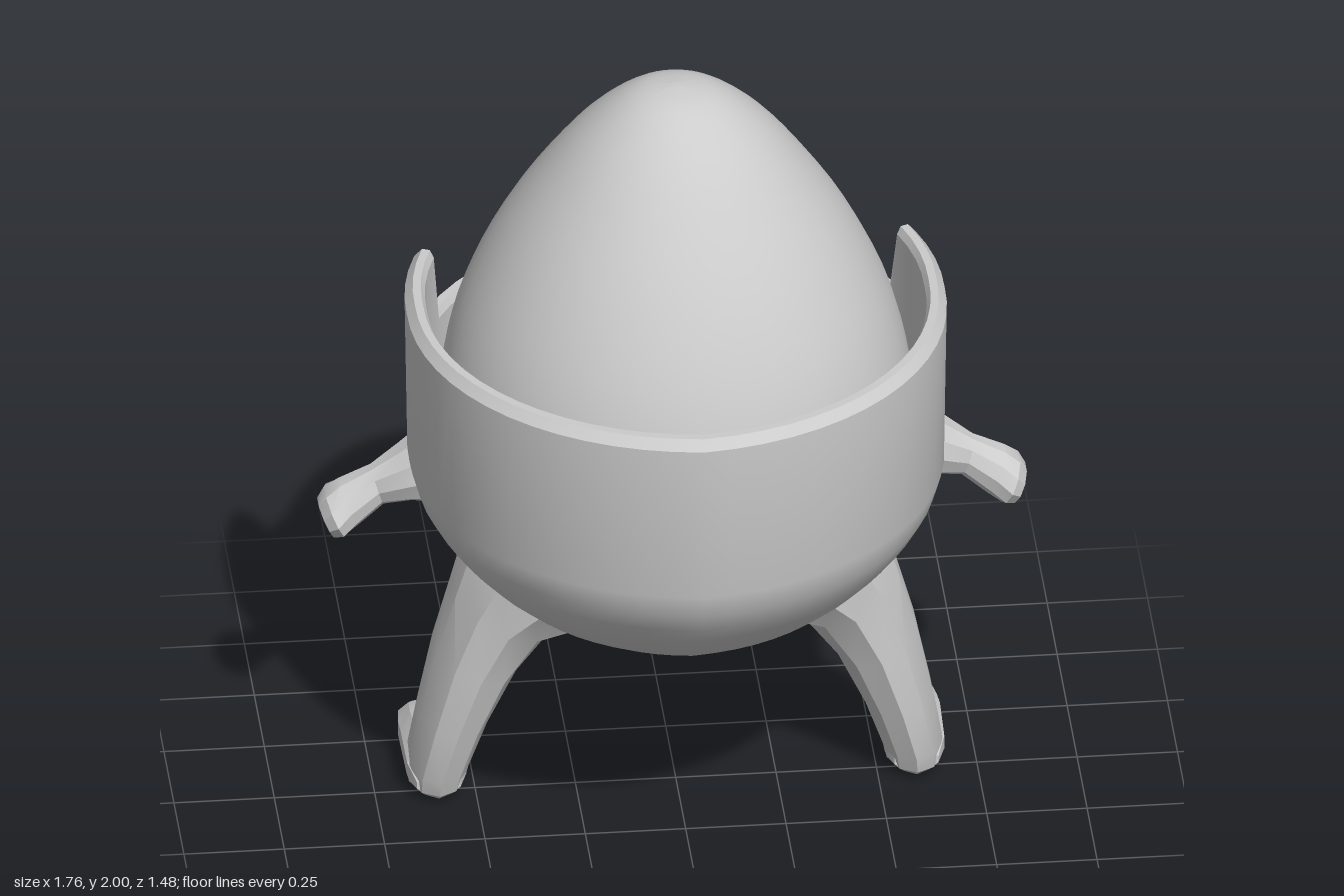
import * as THREE from 'three';
import { toCreasedNormals } from 'three/addons/utils/BufferGeometryUtils.js';

const material = new THREE.MeshStandardMaterial({ color: 0xcccccc });

function part(name, geometry, crease = 0.45) {
  const mesh = new THREE.Mesh(toCreasedNormals(geometry, crease), material);
  mesh.name = name;
  return mesh;
}

// Skin a list of closed rings; optional end caps; winding set from the signed volume.
function loft(rings, capped = true) {
  const n = rings[0].length;
  const pts = rings.flat();
  const index = [];
  for (let i = 0; i < rings.length - 1; i++) {
    for (let j = 0; j < n; j++) {
      const k = (j + 1) % n;
      const a = i * n + j, b = i * n + k, c = a + n, d = b + n;
      index.push(a, c, b, b, c, d);
    }
  }
  if (capped) {
    const last = (rings.length - 1) * n;
    for (let j = 1; j < n - 1; j++) {
      index.push(0, j, j + 1, last, last + j + 1, last + j);
    }
  }
  let volume = 0;
  const cross = new THREE.Vector3();
  for (let i = 0; i < index.length; i += 3) {
    volume += pts[index[i]].dot(cross.crossVectors(pts[index[i + 1]], pts[index[i + 2]]));
  }
  if (volume < 0) index.reverse();
  const geometry = new THREE.BufferGeometry().setFromPoints(pts);
  geometry.setIndex(index);
  return geometry;
}

function ring(center, u, v, n = 10) {
  return Array.from({ length: n }, (_, i) => {
    const t = ((i + 0.5) / n) * Math.PI * 2;
    return center.clone().addScaledVector(u, Math.cos(t) * 1.04).addScaledVector(v, Math.sin(t) * 1.04);
  });
}

// Limb section spanning a to b in the xy plane and z0 to z1 in depth
function limbRing(side, [ax, ay, bx, by, z0, z1]) {
  return ring(
    new THREE.Vector3(side * (ax + bx) / 2, (ay + by) / 2, (z0 + z1) / 2),
    new THREE.Vector3(side * (bx - ax) / 2, (by - ay) / 2, 0),
    new THREE.Vector3(0, 0, (z1 - z0) / 2)
  );
}

// Foot section standing at depth z, from y0 to y1, half width w
function footRing(side, [z, y0, y1, w]) {
  return ring(
    new THREE.Vector3(side * 0.595, (y0 + y1) / 2, z),
    new THREE.Vector3(w, 0, 0),
    new THREE.Vector3(0, (y1 - y0) / 2, 0)
  );
}

// Cup wall: round plan drawn to a slight point at front and back, stepped rim
function createCup() {
  const deg = Math.PI / 180;
  const rim = [[0, 0.94], [29, 0.955], [31, 1.18], [62, 1.2], [66, 1.4], [180, 1.4]];
  const half = [0, 5, 10, 15, 20, 25, 29, 31, 36, 42, 48, 55, 62, 66];
  for (let a = 72; a <= 180; a += 6) half.push(a);
  const angles = [...half, ...half.slice(1, -1).reverse().map((a) => 360 - a)];
  const bowl = [[0.001, 0.455], [0.14, 0.465], [0.27, 0.495], [0.42, 0.54], [0.57, 0.6],
    [0.68, 0.65], [0.77, 0.705], [0.85, 0.765], [0.91, 0.82], [0.96, 0.88]];

  const rings = angles.map((angle) => {
    const a = Math.min(angle, 360 - angle);
    const i = rim.findIndex(([limit]) => a <= limit);
    const [a1, h1] = rim[i];
    const [a0, h0] = rim[Math.max(i - 1, 0)];
    const h = a1 === a0 ? h1 : THREE.MathUtils.lerp(h0, h1, (a - a0) / (a1 - a0));
    const fold = Math.min(a, 180 - a) / 90;
    const radius = 0.67 + 0.072 * Math.pow(1 - fold, 1.3);
    const profile = [...bowl,
      [0.99, Math.min(0.95, h - 0.035)], [1, h - 0.025], [0.97, h], [0.94, h], [0.925, h - 0.02],
      [0.92, Math.min(0.92, h - 0.04)], [0.8, 0.8], [0.5, 0.65], [0.001, 0.53]];
    return profile.map(([f, y]) => new THREE.Vector3(
      Math.sin(angle * deg) * radius * f, y, -Math.cos(angle * deg) * radius * f));
  });
  rings.push(rings[0].map((p) => p.clone()));
  return part('cup', loft(rings, false), 0.4);
}

// Egg resting in the cup
function createEgg() {
  const curve = new THREE.SplineCurve([
    [0, 0.55], [0.22, 0.59], [0.42, 0.7], [0.55, 0.86], [0.59, 1.02], [0.58, 1.2], [0.53, 1.4],
    [0.43, 1.61], [0.3, 1.8], [0.2, 1.91], [0.1, 1.98], [0, 2]
  ].map(([x, y]) => new THREE.Vector2(x, y)));
  const points = curve.getPoints(40);
  points.forEach((p) => { p.x = Math.max(p.x, 0); });
  return part('egg', new THREE.LatheGeometry(points, 48), 1);
}

const legSections = [
  [0.1, 0.54, 0.48, 0.78, 0.22, -0.23], [0.22, 0.49, 0.525, 0.68, 0.19, -0.215],
  [0.31, 0.47, 0.555, 0.57, 0.16, -0.195], [0.4, 0.35, 0.6, 0.41, 0.14, -0.18],
  [0.47, 0.2, 0.64, 0.22, 0.115, -0.165], [0.515, 0.07, 0.667, 0.07, 0.09, -0.16],
  [0.525, 0.025, 0.665, 0.025, 0.075, -0.16], [0.545, 0.008, 0.645, 0.008, 0.055, -0.15]
];
const footSections = [
  [0.05, 0.015, 0.07, 0.055], [0.0, 0.005, 0.12, 0.075], [-0.14, 0.002, 0.14, 0.078],
  [-0.21, 0.002, 0.115, 0.077], [-0.28, 0.008, 0.095, 0.07], [-0.315, 0.02, 0.075, 0.05],
  [-0.33, 0.035, 0.06, 0.03]
];
const armSections = [
  [0.57, 0.79, 0.61, 1.0, 0.01, -0.18], [0.65, 0.8, 0.68, 0.94, -0.01, -0.165],
  [0.72, 0.785, 0.75, 0.885, -0.045, -0.14], [0.78, 0.735, 0.83, 0.845, -0.025, -0.16],
  [0.815, 0.712, 0.865, 0.82, 0, -0.18], [0.84, 0.705, 0.882, 0.79, -0.02, -0.165]
];

export function createModel() {
  const model = new THREE.Group();
  model.name = 'eggCup';
  model.add(createCup(), createEgg());

  // Mirrored limbs
  for (const [side, label] of [[1, 'left'], [-1, 'right']]) {
    const limb = (sections, make) => loft(sections.map((s) => make(side, s)));
    model.add(
      part(label + 'Leg', limb(legSections, limbRing)),
      part(label + 'Foot', limb(footSections, footRing)),
      part(label + 'Arm', limb(armSections, limbRing))
    );
  }
  return model;
}
